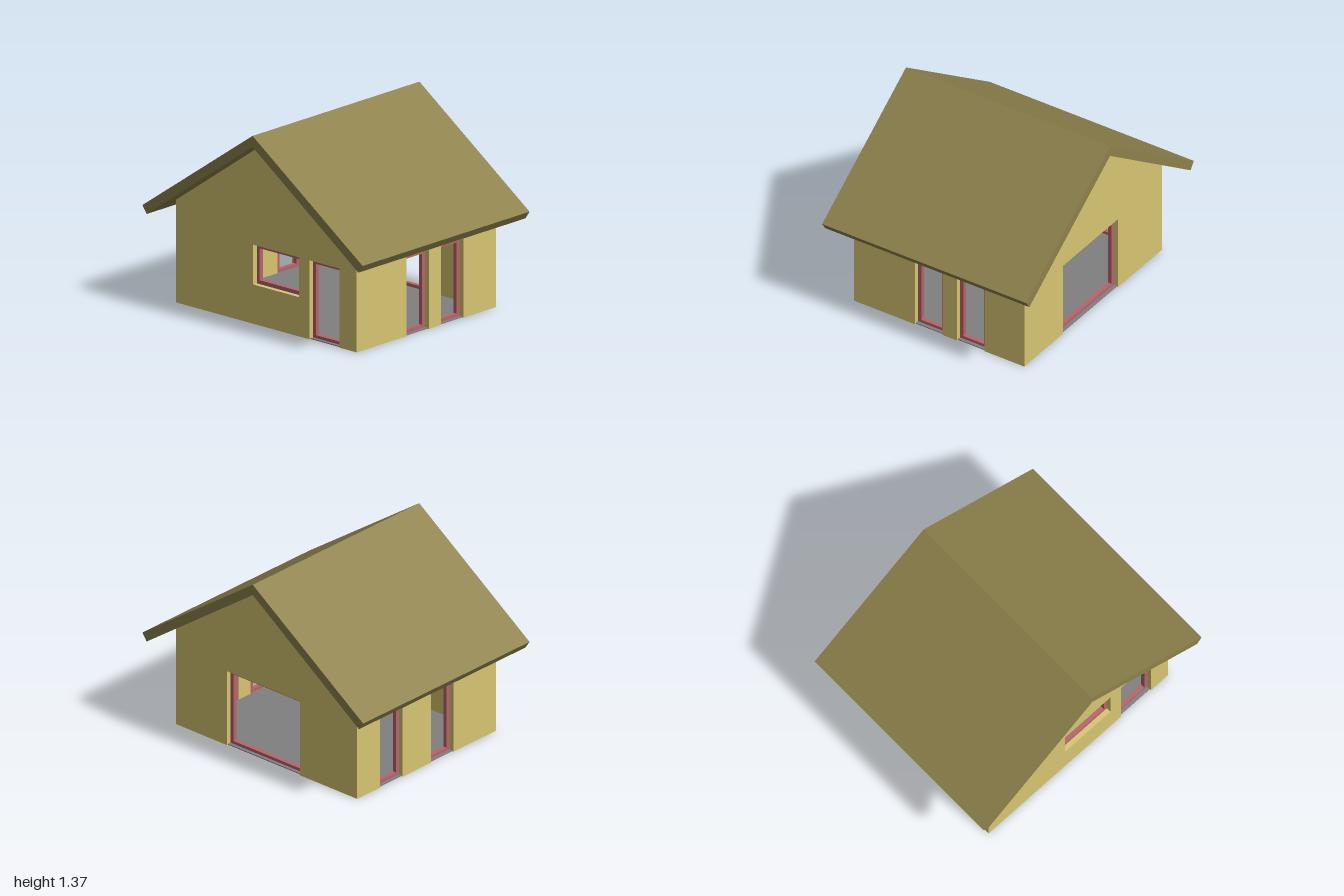
import * as THREE from 'three';

const W = 0.82, D = 0.685;      // half width and half depth of the walls
const T = 0.07;                 // wall thickness
const RIDGE = 1.295, EAVE = 0.725; // underside of the roof at the centre and above the walls
const HEAD = 0.553;             // top of every opening
const BAR = 0.027;              // width of a frame bar

const mat = (color) => new THREE.MeshStandardMaterial({ color, roughness: 1, flatShading: true });
const wallMat = mat(0xd8c672), roofMat = mat(0x8d814b), frameMat = mat(0xb8646a), floorMat = mat(0x808080);

const poly = (pts) => pts.map(([x, y]) => new THREE.Vector2(x, y));

const rect = (x0, x1, y0, y1) => poly([[x0, y0], [x1, y0], [x1, y1], [x0, y1]]);

function extrude(name, shape, depth, z, material) {
  const geo = new THREE.ExtrudeGeometry(shape, { depth, bevelEnabled: false });
  geo.translate(0, 0, z);
  const mesh = new THREE.Mesh(geo, material);
  mesh.name = name;
  return mesh;
}

// A wall facing local +z with its outer face at z = 0.
// Openings are [from, to, sill]; those with sill 0 are notches reaching the ground.
function makeWall(name, halfWidth, top, openings) {
  const group = new THREE.Group();
  group.name = name;
  const pts = [[-halfWidth, 0]];
  for (const [a, b, sill] of openings) {
    if (sill === 0) pts.push([a, 0], [a, HEAD], [b, HEAD], [b, 0]);
  }
  pts.push([halfWidth, 0], ...top);
  const shape = new THREE.Shape(poly(pts));
  for (const [a, b, sill] of openings) {
    if (sill > 0) shape.holes.push(new THREE.Path(rect(a, b, sill, HEAD)));
  }
  group.add(extrude(name + 'Panel', shape, T, -T, wallMat));

  // Recessed frame in each opening
  for (const [a, b, sill] of openings) {
    const frame = new THREE.Shape(rect(a, b, sill, HEAD));
    frame.holes.push(new THREE.Path(rect(a + BAR, b - BAR, sill + BAR, HEAD - BAR)));
    group.add(extrude(sill > 0 ? 'windowFrame' : 'doorFrame', frame, 0.03, -0.065, frameMat));
  }
  return group;
}

export function createModel() {
  const house = new THREE.Group();
  house.name = 'house';

  // Gable walls
  const gable = [[W, EAVE], [0, RIDGE], [-W, EAVE]];
  const front = makeWall('frontWall', W, gable, [[-0.12, 0.295, 0.275], [0.39, 0.665, 0]]);
  front.position.z = D;
  const back = makeWall('backWall', W, gable, [[-0.36, 0.3, 0]]);
  back.rotation.y = Math.PI;
  back.position.z = -D;

  // Side walls between the gables, their tops tucked into the roof
  const h = D - T, sideTop = [[h, 0.77], [-h, 0.77]];
  const right = makeWall('eastWall', h, sideTop, [[-0.195, 0.025, 0], [0.143, 0.365, 0]]);
  right.rotation.y = Math.PI / 2;
  right.position.x = W;
  const left = makeWall('westWall', h, sideTop, [[-0.457, -0.235, 0], [0.045, 0.265, 0]]);
  left.rotation.y = -Math.PI / 2;
  left.position.x = -W;
  house.add(front, back, right, left);

  // Floor slab
  const floor = new THREE.Mesh(new THREE.BoxGeometry(2 * W - 0.02, 0.006, 2 * D - 0.02), floorMat);
  floor.name = 'floor';
  floor.position.y = 0.002;
  house.add(floor);

  // Pitched roof with overhanging eaves
  const roofShape = new THREE.Shape(poly([
    [0, RIDGE], [0.962, 0.62], [1, 0.675], [0, 1.372], [-1, 0.675], [-0.962, 0.62],
  ]));
  house.add(extrude('roof', roofShape, 1.644, -0.822, roofMat));

  // Rest the slab on the ground
  house.children.forEach((c) => { if (c.name === 'floor') c.position.y = 0.003; });
  return house;
}
